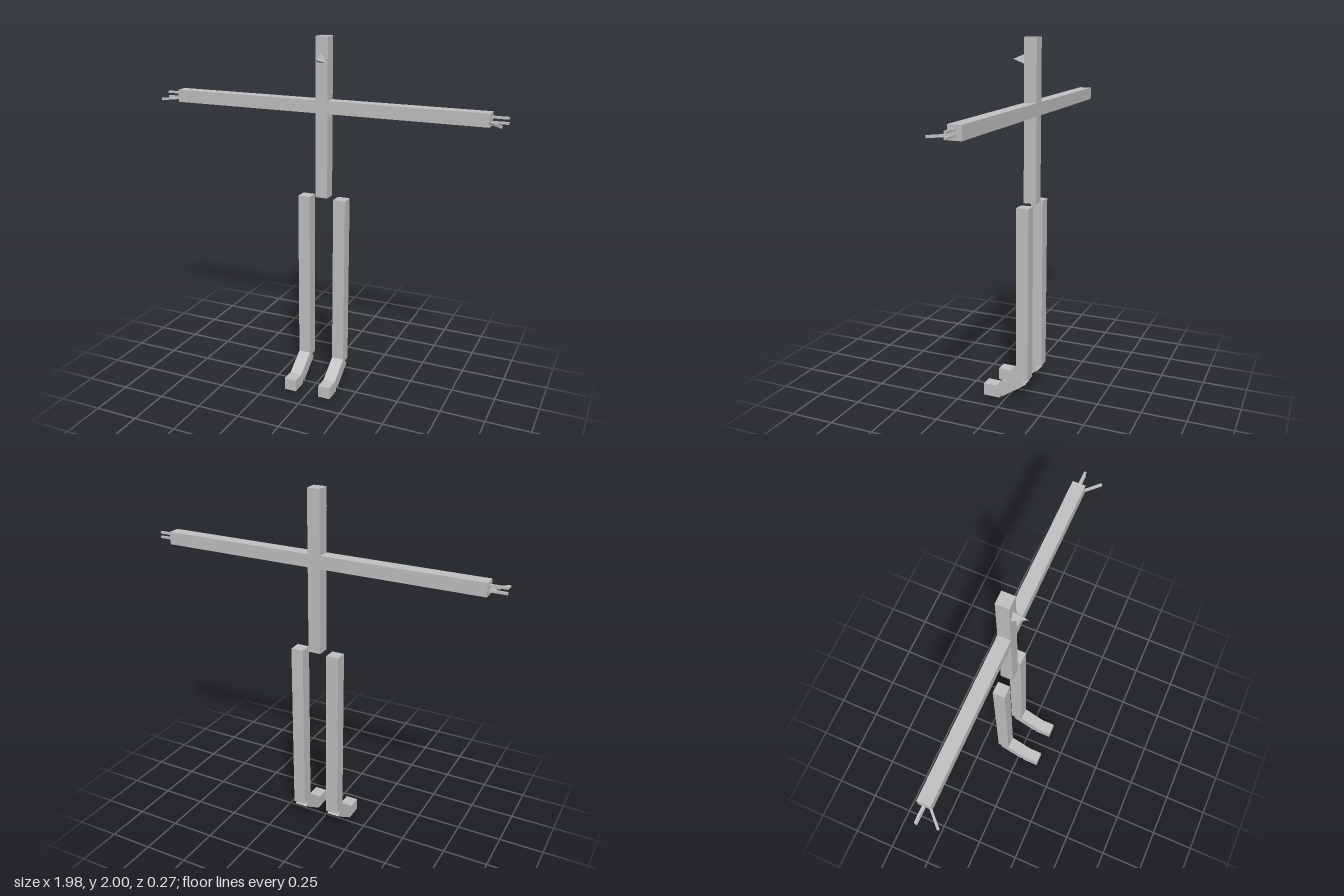
import * as THREE from 'three';

export function createModel() {
  const model = new THREE.Group();
  model.name = 'stickFigure';
  const grey = new THREE.MeshStandardMaterial({ color: 0xc0c0c0 });
  grey.name = 'light grey';

  const T = 0.07; // limb thickness
  const Z = -0.1; // body plane

  function bar(name, size, pos, parent = model) {
    const mesh = new THREE.Mesh(new THREE.BoxGeometry(...size), grey);
    mesh.name = name;
    mesh.position.set(...pos);
    parent.add(mesh);
    return mesh;
  }

  // Upright body with head, and crossing arms
  bar('torsoAndHead', [T, 0.874, T], [0, 1.563, Z]);

  // Nose: a small three-sided spike, apex upward
  const left = [-0.025, 1.863, -0.066], right = [0.025, 1.863, -0.066];
  const top = [0, 1.918, -0.066], tip = [0, 1.886, 0.01];
  const noseGeometry = new THREE.BufferGeometry();
  noseGeometry.setAttribute('position', new THREE.Float32BufferAttribute([
    left, right, tip, right, top, tip, top, left, tip, left, top, right,
  ].flat(), 3));
  noseGeometry.computeVertexNormals();
  const nose = new THREE.Mesh(noseGeometry, grey);
  nose.name = 'nose';
  model.add(nose);

  for (const [side, s] of [['left', 1], ['right', -1]]) {
    // Arm with two straight fingers and a thumb angled forward
    bar(side + 'Arm', [0.865, T, T], [s * 0.4675, 1.63, Z]);
    for (const y of [1.643, 1.617]) {
      bar(side + 'Finger', [0.09, 0.012, 0.012], [s * 0.943, y, Z]);
    }
    const thumb = bar(side + 'Thumb', [0.105, 0.012, 0.012], [s * 0.933, 1.617, -0.036]);
    thumb.rotation.y = -s * Math.PI / 4;

    // Leg, sloping ankle and flat toe
    const x = s * 0.106;
    bar(side + 'Leg', [T, 0.987, T], [x, 0.6285, Z]);
    const ankle = bar(side + 'Ankle', [T, T, 0.167], [x, 0.088, -0.029]);
    ankle.rotation.x = 0.6;
    bar(side + 'Toe', [T, T, 0.1], [x, 0.036, 0.085]);
  }
  return model;
}
